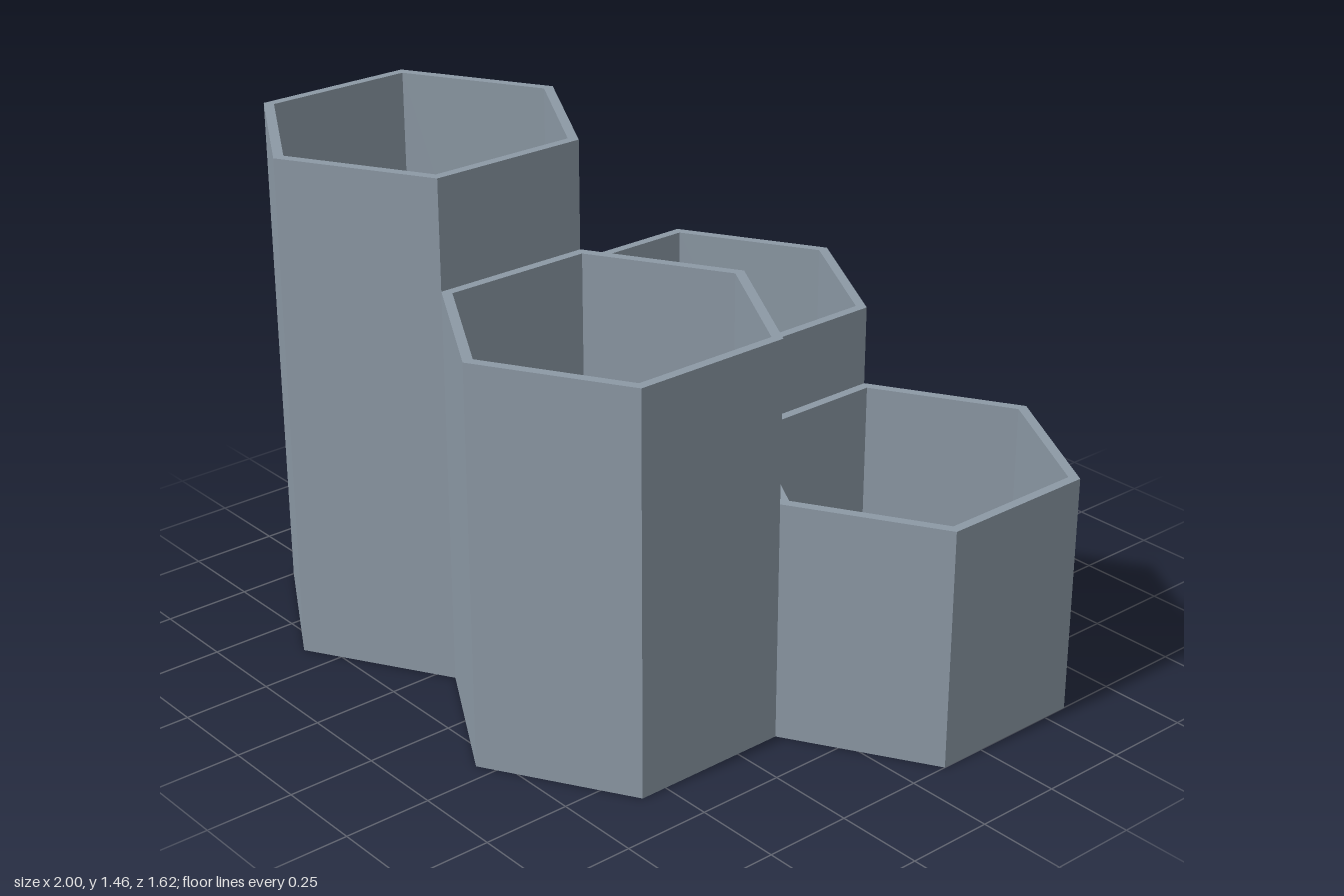
import * as THREE from 'three';

const APOTHEM = 0.4;   // half the flat-to-flat width of a cell
const WALL = 0.027;
const FLOOR = 0.03;
const TO_CORNER = 2 / Math.sqrt(3);

// One open hexagonal cup: outer wall, rim, inner wall and floor in a six-sided lathe
function hexCup(height) {
  const outer = APOTHEM * TO_CORNER;
  const inner = (APOTHEM - WALL) * TO_CORNER;
  const profile = [
    [0, 0], [outer, 0], [outer, height], [inner, height], [inner, FLOOR], [0, FLOOR],
  ].map(([r, y]) => new THREE.Vector2(r, y));
  const geometry = new THREE.LatheGeometry(profile, 6).toNonIndexed();
  geometry.computeVertexNormals(); // flat facets
  return geometry;
}

export function createModel() {
  const group = new THREE.Group();
  group.name = 'hexagonOrganizer';

  const slate = new THREE.MeshStandardMaterial({ color: 0x8c99a5 });
  slate.name = 'slateGrey';

  // Two staggered rows of cells that share walls
  const row = APOTHEM * Math.sqrt(3) / 2;
  const cups = [
    ['frontRightCup', -0.6, row, 1.46],
    ['frontLeftCup', 0.2, row, 1.15],
    ['backRightCup', -0.2, -row, 0.92],
    ['backLeftCup', 0.6, -row, 0.69],
  ];
  for (const [name, x, z, height] of cups) {
    const cup = new THREE.Mesh(hexCup(height), slate);
    cup.name = name;
    cup.position.set(x, 0, z);
    group.add(cup);
  }
  return group;
}
